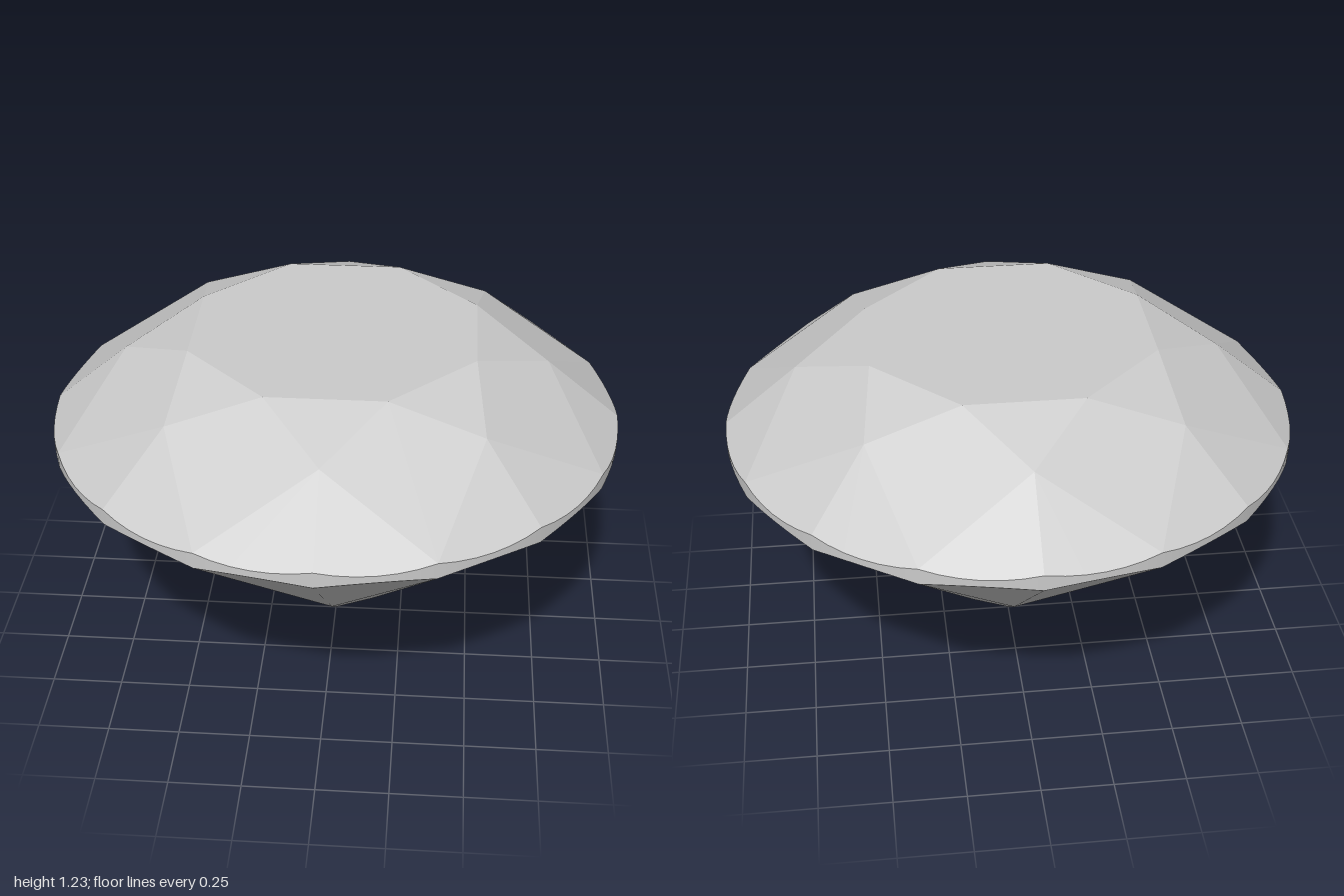
import * as THREE from 'three';

const STEP = Math.PI / 8;      // 22.5 degrees: sixteen girdle points
const ARC = 6;                 // girdle segments per step
const TABLE = { r: 0.53, y: 1.227 };
const GIRDLE = { top: 0.911, bottom: 0.853 };
const STAR_R = 0.742;          // tips of the star facets
const LOWER_R = 0.21;          // inner tips of the lower girdle facets
const CENTRE = new THREE.Vector3(0, 0.88, 0);

// Point at a step angle, radius and height
const polar = (k, r, y) => new THREE.Vector3(r * Math.sin(k * STEP), y, r * Math.cos(k * STEP));

// Tip heights that keep the kite facets planar
const half = Math.cos(STEP);
const starY = TABLE.y - (TABLE.y - GIRDLE.top) * (STAR_R * half - TABLE.r) / (1 - TABLE.r);
const lowerY = GIRDLE.bottom * LOWER_R * half;

// Height of the girdle edge where a facet plane cuts the unit cylinder
function edgeY(t, gy, tipR, tipY) {
  const mid = Math.cos(STEP / 2);
  const slope = (gy - tipY) / (mid - tipR * mid);
  return gy + slope * (Math.cos((t - 0.5) * STEP) - mid);
}
const topY = t => edgeY(t, GIRDLE.top, STAR_R, starY);
const bottomY = t => edgeY(t, GIRDLE.bottom, LOWER_R, lowerY);

// Mesh of flat convex facets, each fanned and turned to face outward
function facetMesh(name, facets, material) {
  const pos = [];
  for (const f of facets) {
    for (let i = 1; i < f.length - 1; i++) {
      const tri = new THREE.Triangle(f[0], f[i], f[i + 1]);
      const n = tri.getNormal(new THREE.Vector3());
      const out = n.dot(f[0].clone().sub(CENTRE)) > 0;
      for (const p of out ? [tri.a, tri.b, tri.c] : [tri.a, tri.c, tri.b]) pos.push(p.x, p.y, p.z);
    }
  }
  const geo = new THREE.BufferGeometry();
  geo.setAttribute('position', new THREE.Float32BufferAttribute(pos, 3));
  geo.computeVertexNormals();
  const mesh = new THREE.Mesh(geo, material);
  mesh.name = name;
  return mesh;
}

export function createModel() {
  const group = new THREE.Group();
  group.name = 'cutGem';
  const material = new THREE.MeshStandardMaterial({ color: 0xcccccc, flatShading: true });
  const smooth = new THREE.MeshStandardMaterial({ color: 0xcccccc });

  const culet = new THREE.Vector3(0, 0, 0);
  const table = [], stars = [], bezels = [], upper = [], lower = [], mains = [], band = [];
  const tableAt = k => polar(k, TABLE.r, TABLE.y);
  const starAt = k => polar(k, STAR_R, starY);
  const lowerAt = k => polar(k, LOWER_R, lowerY);

  for (let k = 0; k < 16; k += 2) {
    const m = k + 1;           // axis of the kite facets
    table.push(tableAt(m));
    stars.push([tableAt(k - 1), starAt(k), tableAt(m)]);
    bezels.push([tableAt(m), starAt(k), polar(m, 1, GIRDLE.top), starAt(k + 2)]);
    mains.push([culet, lowerAt(k), polar(m, 1, GIRDLE.bottom), lowerAt(k + 2)]);
  }

  // Girdle facets end in the scalloped arcs that bound the girdle band
  for (let k = 0; k < 16; k++) {
    const tip = k % 2 ? k + 1 : k;
    const topArc = [], bottomArc = [];
    for (let i = 0; i <= ARC; i++) {
      const t = i / ARC;
      topArc.push(polar(k + t, 1, topY(t)));
      bottomArc.push(polar(k + t, 1, bottomY(t)));
    }
    upper.push([starAt(tip), ...topArc]);
    lower.push([lowerAt(tip), ...bottomArc]);
    for (let i = 0; i < ARC; i++) {
      band.push([topArc[i], bottomArc[i], bottomArc[i + 1], topArc[i + 1]]);
    }
  }

  // Girdle band is shaded round
  const girdle = facetMesh('girdle', band, smooth);
  const { position, normal } = girdle.geometry.attributes;
  for (let i = 0; i < position.count; i++) normal.setXYZ(i, position.getX(i), 0, position.getZ(i));

  group.add(
    facetMesh('table', [table], material),
    facetMesh('starFacets', stars, material),
    facetMesh('bezelFacets', bezels, material),
    facetMesh('upperGirdleFacets', upper, material),
    girdle,
    facetMesh('lowerGirdleFacets', lower, material),
    facetMesh('pavilionMains', mains, material),
  );
  return group;
}
